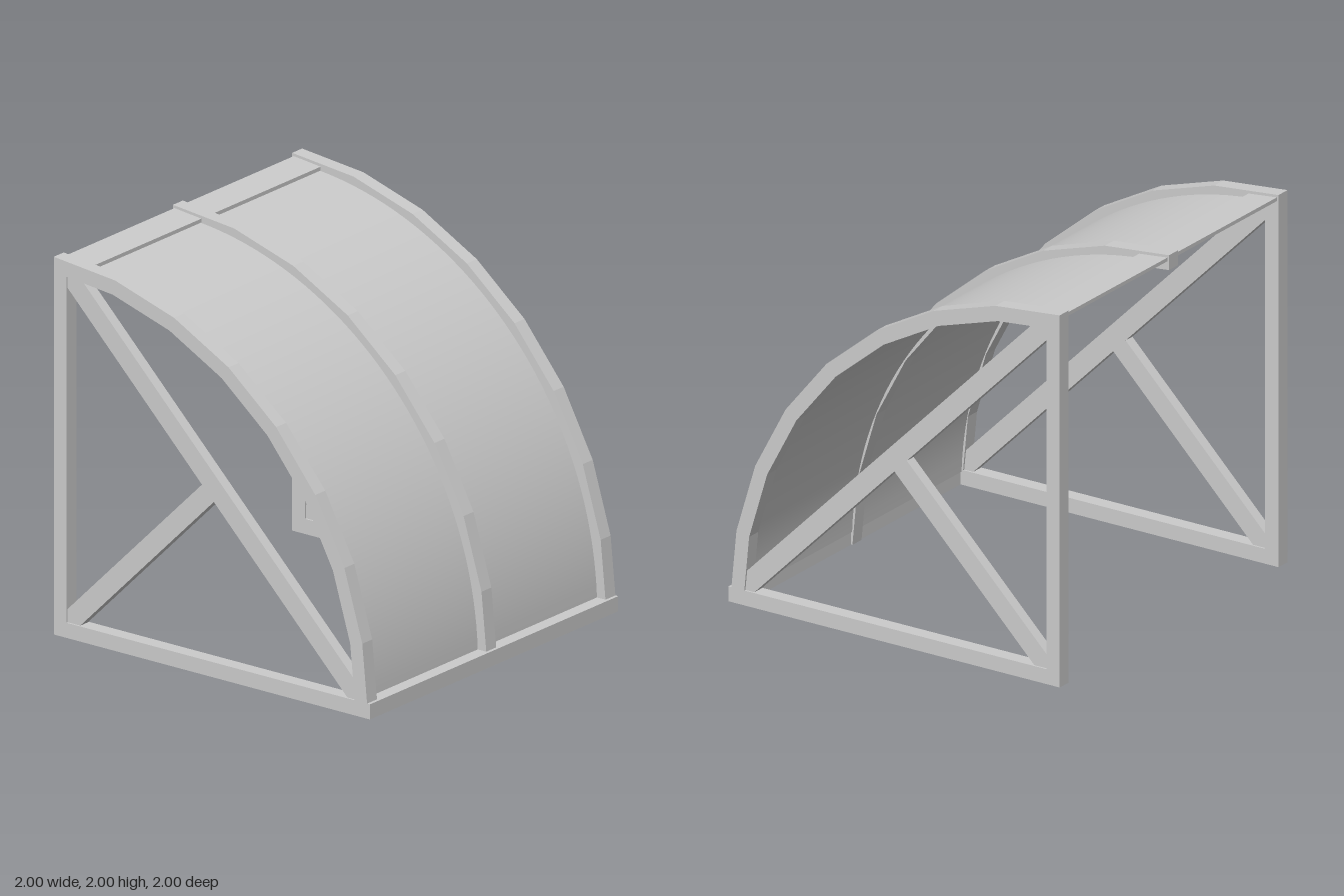
import * as THREE from 'three';
import { toCreasedNormals } from 'three/addons/utils/BufferGeometryUtils.js';

const material = new THREE.MeshStandardMaterial({ color: 0xcccccc });

// Extrude an outline in the xy plane, centred on the given z.
function slab(name, points, depth, z = 0, smooth = false) {
  const shape = new THREE.Shape(points.map(([x, y]) => new THREE.Vector2(x, y)));
  let geometry = new THREE.ExtrudeGeometry(shape, { depth, bevelEnabled: false });
  geometry.translate(0, 0, z - depth / 2);
  if (smooth) geometry = toCreasedNormals(geometry, Math.PI / 6);
  const mesh = new THREE.Mesh(geometry, material);
  mesh.name = name;
  return mesh;
}

// Points on an ellipse around the lower back corner; angle 0 is the top.
function arc(rx, ry, from, to, segments) {
  return Array.from({ length: segments + 1 }, (_, i) => {
    const a = from + ((to - from) * i) / segments;
    return [-1 + rx * Math.sin(a), ry * Math.cos(a)];
  });
}

// Closed band between an outer and an inner arc.
const band = (outer, inner) => [...outer, ...inner.reverse()];

export function createModel() {
  const model = new THREE.Group();
  model.name = 'awning';
  const quarter = Math.PI / 2;
  const bar = 0.08;
  const rib = band(arc(1.99, 2, 0, quarter, 8), arc(1.912, 1.92, 0, quarter, 8));

  // Side frames: post, base rail, faceted rib, diagonal and strut
  for (const [side, z] of [['front', 0.96], ['back', -0.96]]) {
    const frame = new THREE.Group();
    frame.name = side + 'Frame';
    frame.add(
      slab('rib', rib, bar, z),
      slab('post', [[-1, 0], [-0.92, 0], [-0.92, 1.915], [-1, 1.95]], bar, z),
      slab('baseRail', [[-1, 0], [0.99, 0], [0.99, bar], [-1, bar]], bar, z),
      slab('diagonal', [
        [-0.92, 1.915], [-0.92, 1.85], [0.85, 0.08], [0.91, 0.08], [0.91, 0.17], [-0.825, 1.905],
      ], 0.06, z),
      slab('strut', [[-0.92, 0.08], [-0.84, 0.08], [0.01, 0.93], [-0.065, 1.005], [-0.92, 0.15]], 0.06, z)
    );
    model.add(frame);
  }

  // Middle rib
  model.add(slab('middleRib', rib, bar));

  // Front rail joining the feet of the ribs
  model.add(slab('frontRail', [[0.92, 0], [1, 0], [1, bar], [0.92, bar]], 2));

  // Curved canopy sheet, thin and smooth
  const sheet = band(arc(1.93, 1.953, 0.088, 1.535, 40), arc(1.915, 1.938, 0.088, 1.535, 40));
  model.add(slab('canopySheet', sheet, 1.86, 0, true));

  // Wall strip covering the upper edge of the sheet
  model.add(slab('wallStrip', [[-0.99, 1.965], [-0.82, 1.947], [-0.82, 1.967], [-0.99, 1.985]], 1.9));

  return model;
}
